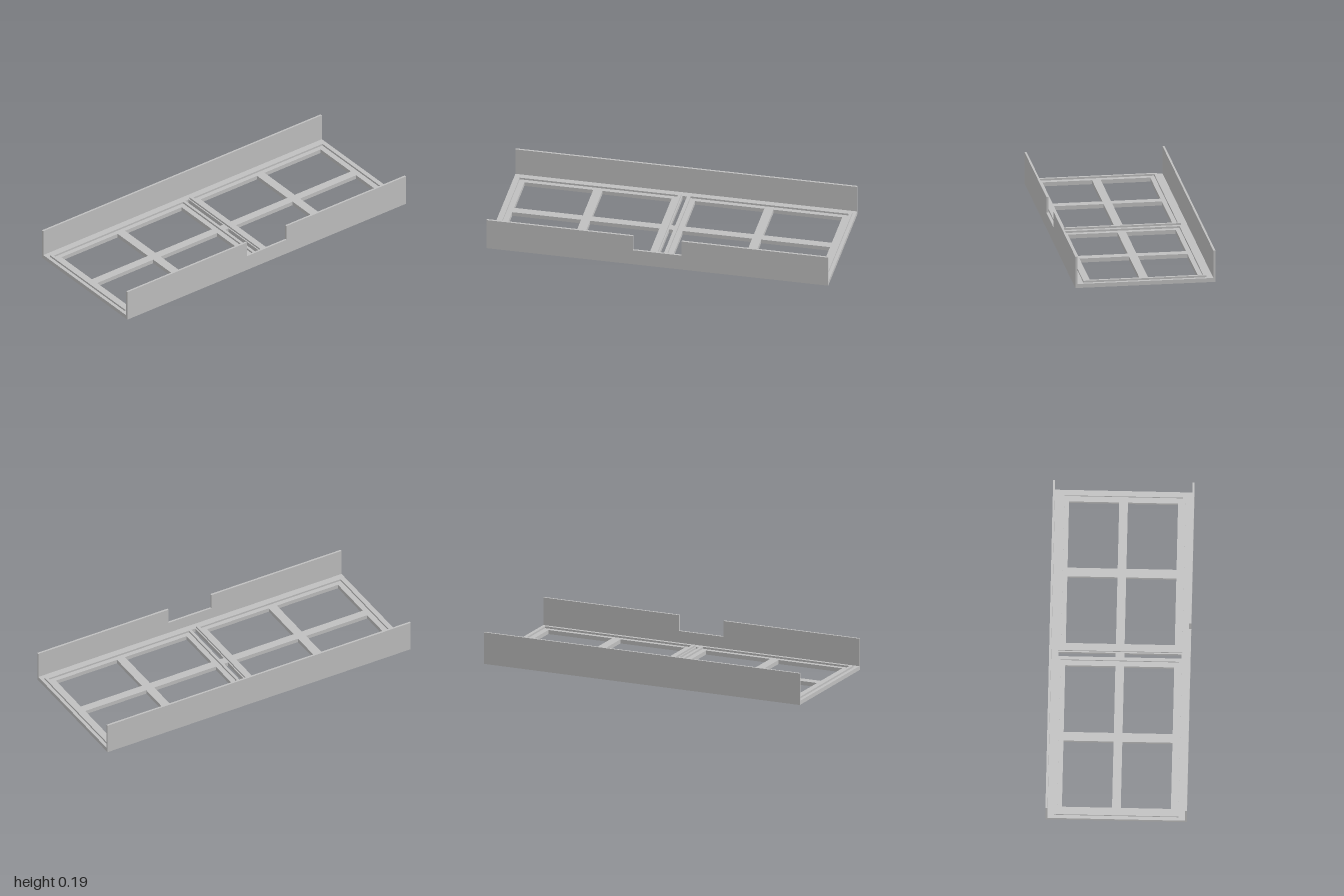
import * as THREE from 'three';

const HALF_Z = 0.405, WALL = 0.012, BASE_H = 0.024, RIM_H = 0.011;

// Closed rectangle outline, usable as a shape or a hole
function rect(PathType, x0, x1, z0, z1) {
  const p = new PathType();
  p.moveTo(x0, z0);
  p.lineTo(x1, z0);
  p.lineTo(x1, z1);
  p.lineTo(x0, z1);
  p.closePath();
  return p;
}

// Horizontal plate of the given outline, resting at height y
function plate(name, shape, y, height, material) {
  const geo = new THREE.ExtrudeGeometry(shape, { depth: height, bevelEnabled: false });
  geo.rotateX(-Math.PI / 2);
  const mesh = new THREE.Mesh(geo, material);
  mesh.position.y = y;
  mesh.name = name;
  return mesh;
}

export function createModel() {
  const group = new THREE.Group();
  group.name = 'doubleTray';
  const grey = new THREE.MeshStandardMaterial({ color: 0xbfbfbf });
  grey.name = 'lightGrey';

  // Base frame with eight windows and two narrow centre slots
  const inner = HALF_Z - WALL;
  const base = rect(THREE.Shape, -1, 1, -inner, inner);
  for (const [z0, z1, s1] of [[-0.312, -0.025, -0.352], [0.025, 0.312, 0.352]]) {
    for (const [x0, x1] of [[-0.93, -0.527], [-0.474, -0.068], [0.068, 0.474], [0.527, 0.93]]) {
      base.holes.push(rect(THREE.Path, x0, x1, z0, z1));
    }
    base.holes.push(rect(THREE.Path, -0.013, 0.013, Math.min(s1, z0 + 0, z1), Math.max(s1, z0, z1)));
  }
  group.add(plate('baseFrame', base, 0, BASE_H, grey));

  // Raised locating rim around each half
  for (const side of [-1, 1]) {
    const c = side * 0.5;
    const rim = rect(THREE.Shape, c - 0.48, c + 0.48, -0.356, 0.356);
    rim.holes.push(rect(THREE.Path, c - 0.463, c + 0.463, -0.339, 0.339));
    group.add(plate(side > 0 ? 'leftRim' : 'rightRim', rim, BASE_H, RIM_H, grey));
  }

  // Long walls, the front one with a central notch
  const top = 0.188, notchX = 0.142, notchY = 0.094;
  const front = new THREE.Shape();
  front.moveTo(-1, 0);
  for (const [x, y] of [[1, 0], [1, top], [notchX, top], [notchX, notchY],
    [-notchX, notchY], [-notchX, top], [-1, top]]) front.lineTo(x, y);
  front.closePath();
  const walls = [
    ['frontWall', front, inner],
    ['backWall', rect(THREE.Shape, -1, 1, 0, top), -HALF_Z],
  ];
  for (const [name, shape, z] of walls) {
    const wall = new THREE.Mesh(
      new THREE.ExtrudeGeometry(shape, { depth: WALL, bevelEnabled: false }), grey);
    wall.position.z = z;
    wall.name = name;
    group.add(wall);
  }
  return group;
}
